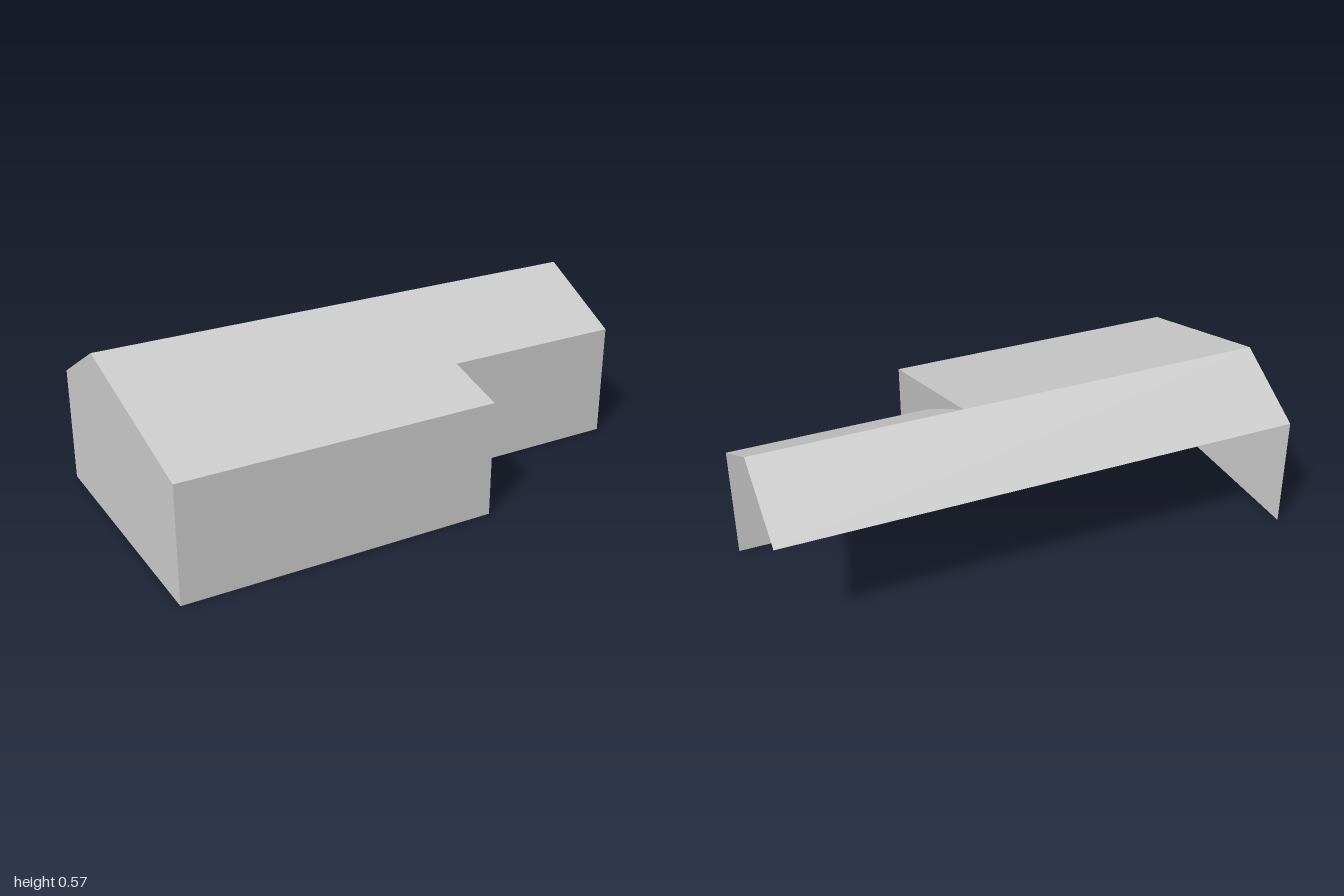
import * as THREE from 'three';

const EAVE = 0.402, TOP = 0.566;             // heights of eaves and ridge
const LEFT = -0.374, RIDGE = -0.092;         // positions across the building
const WIDE = 0.553, NARROW = 0.228;          // right eaves of front and rear parts
const FRONT = 0.886, STEP = -0.21, BACK = -0.934; // positions along the ridge

// Flat convex panel, corners counter-clockwise seen from outside
function panel(name, material, corners) {
  const positions = [];
  for (let i = 1; i < corners.length - 1; i++) {
    positions.push(...corners[0], ...corners[i], ...corners[i + 1]);
  }
  const geometry = new THREE.BufferGeometry();
  geometry.setAttribute('position', new THREE.Float32BufferAttribute(positions, 3));
  geometry.computeVertexNormals();
  const mesh = new THREE.Mesh(geometry, material);
  mesh.name = name;
  return mesh;
}

export function createModel() {
  const grey = new THREE.MeshStandardMaterial({ color: 0xcccccc, side: THREE.DoubleSide });
  grey.name = 'light grey';

  const house = new THREE.Group();
  house.name = 'house';

  // Front gable wall
  house.add(panel('frontGable', grey, [
    [LEFT, 0, FRONT], [WIDE, 0, FRONT], [WIDE, EAVE, FRONT],
    [RIDGE, TOP, FRONT], [LEFT, EAVE, FRONT],
  ]));

  // Left roof slope runs the whole length, open underneath
  house.add(panel('leftRoof', grey, [
    [LEFT, EAVE, BACK], [LEFT, EAVE, FRONT], [RIDGE, TOP, FRONT], [RIDGE, TOP, BACK],
  ]));

  // Right roof slope and side wall of the wide front and narrow rear parts
  for (const [part, x, z0, z1] of [['front', WIDE, FRONT, STEP], ['rear', NARROW, STEP, BACK]]) {
    house.add(panel(part + 'RightRoof', grey, [
      [x, EAVE, z0], [x, EAVE, z1], [RIDGE, TOP, z1], [RIDGE, TOP, z0],
    ]));
    house.add(panel(part + 'RightWall', grey, [
      [x, 0, z0], [x, 0, z1], [x, EAVE, z1], [x, EAVE, z0],
    ]));
  }

  // The building stands turned on its plot
  house.rotation.y = -0.261;

  const model = new THREE.Group();
  model.name = 'building';
  model.add(house);
  return model;
}
